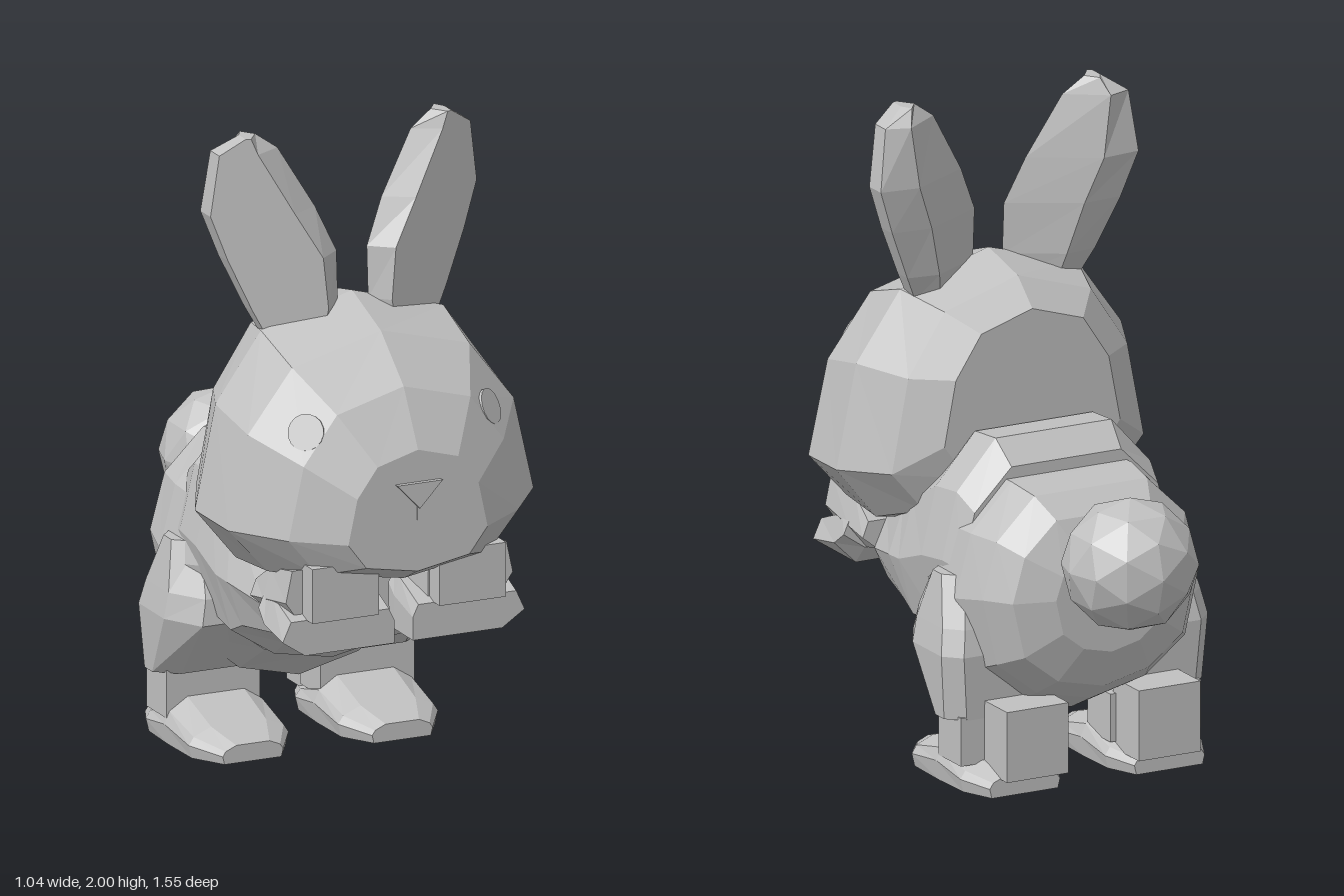
import * as THREE from 'three';

const fur = new THREE.MeshStandardMaterial({ color: 0xc0c0c0, flatShading: true });
fur.name = 'plain grey';

// Skin between matching cross-sections, with both ends capped.
// Rings run counterclockwise seen from the end of the path; side -1 mirrors x.
function loft(name, rings, side = 1) {
  const rs = rings.map(r => {
    const ring = r.map(([x, y, z]) => new THREE.Vector3(x * side, y, z));
    return side < 0 ? ring.reverse() : ring;
  });
  const pts = [];
  const n = rs[0].length;
  for (let k = 0; k < rs.length - 1; k++) {
    const a = rs[k], b = rs[k + 1];
    for (let i = 0; i < n; i++) {
      const j = (i + 1) % n;
      pts.push(a[i], a[j], b[j], a[i], b[j], b[i]);
    }
  }
  const first = rs[0], last = rs[rs.length - 1];
  for (let i = 1; i < n - 1; i++) {
    pts.push(first[0], first[i + 1], first[i], last[0], last[i], last[i + 1]);
  }
  const geo = new THREE.BufferGeometry().setFromPoints(pts);
  geo.computeVertexNormals();
  return part(name, geo);
}

function part(name, geo, x = 0, y = 0, z = 0) {
  const m = new THREE.Mesh(geo, fur);
  m.name = name;
  m.position.set(x, y, z);
  return m;
}

// One cross-section at depth z: profile scaled to half width, top and bottom
const section = (profile, z, cx, hw, bottom, mid, top) => profile.map(([u, v]) =>
  [cx + u * hw, v > 0 ? mid + v * (top - mid) : mid + v * (mid - bottom), z]);

const headProfile = [[1, 0], [0.87, 0.52], [0.58, 0.86], [0, 1], [-0.58, 0.86], [-0.87, 0.52],
  [-1, 0], [-0.74, -0.72], [0, -1], [0.74, -0.72]];
const bodyProfile = [[1, 0], [0.87, 0.58], [0.52, 1], [-0.52, 1], [-0.87, 0.58],
  [-1, 0], [-0.87, -0.58], [-0.5, -0.88], [0, -1], [0.5, -0.88], [0.87, -0.58]];
const footProfile = [[1, 0], [0.9, 0.5], [0.55, 1], [-0.55, 1], [-0.9, 0.5], [-1, 0],
  [-0.94, -1], [0.94, -1]];
const pawProfile = [[1, -0.1], [0.85, 1], [-0.9, 1], [-1, 0.3], [-1, -1], [0.6, -1]];

// Box given by its limits
const block = (name, x0, x1, y0, y1, z0, z1) => part(name,
  new THREE.BoxGeometry(Math.abs(x1 - x0), y1 - y0, z1 - z0), (x0 + x1) / 2, (y0 + y1) / 2, (z0 + z1) / 2);

export function createModel() {
  const model = new THREE.Group();
  model.name = 'rabbit';

  // Head: z, half width, bottom, widest level, top
  model.add(loft('head', [
    [0.03, 0.30, 0.83, 0.98, 1.37], [0.12, 0.43, 0.71, 0.89, 1.45], [0.30, 0.52, 0.64, 0.87, 1.49],
    [0.50, 0.505, 0.66, 0.86, 1.42], [0.66, 0.38, 0.69, 0.855, 1.29], [0.76, 0.23, 0.74, 0.85, 1.12],
  ].map(([z, w, b, m, t]) => section(headProfile, z, 0, w, b, m, t))));

  // Rump and chest
  model.add(loft('rump', [
    [-0.46, 0.19, 0.43, 0.74], [-0.41, 0.31, 0.31, 0.85], [-0.33, 0.37, 0.25, 0.91],
    [-0.21, 0.395, 0.19, 0.925], [-0.07, 0.395, 0.18, 0.92], [0.06, 0.35, 0.28, 0.86],
  ].map(([z, w, b, t]) => section(bodyProfile, z, 0, w, b, (b + t) / 2 + 0.03, t))));
  model.add(loft('chest', [
    [-0.18, 0.36, 0.36, 0.96], [-0.10, 0.38, 0.32, 1.03], [0.02, 0.385, 0.30, 1.02],
    [0.16, 0.385, 0.30, 0.92], [0.23, 0.38, 0.36, 0.85], [0.39, 0.34, 0.41, 0.74],
    [0.46, 0.25, 0.51, 0.66],
  ].map(([z, w, b, t]) => section(bodyProfile, z, 0, w, b, (b + t) / 2, t))));

  // Tail
  model.add(part('tail', new THREE.IcosahedronGeometry(0.207, 1), 0, 0.735, -0.572));

  // Nose and mouth
  const tri = new THREE.Shape([[-0.075, 1.02], [0, 0.94], [0.075, 1.02]].map(p => new THREE.Vector2(...p)));
  model.add(part('nose', new THREE.ExtrudeGeometry(tri, { depth: 0.025, bevelEnabled: false }), 0, 0, 0.75));
  model.add(block('mouth', -0.003, 0.003, 0.90, 0.95, 0.755, 0.763));

  for (const s of [1, -1]) {
    const side = s > 0 ? 'left' : 'right';

    // Ear: y, inner x, front ridge x, outer x, thickness; the outer edge is turned back
    const earZ = x => 0.395 - 0.35 * x;
    model.add(loft(side + 'Ear', [
      [1.38, 0.07, 0.12, 0.28, 0.09], [1.46, 0.05, 0.105, 0.32, 0.11], [1.62, 0.05, 0.12, 0.39, 0.125],
      [1.76, 0.11, 0.20, 0.44, 0.13], [1.95, 0.22, 0.305, 0.415, 0.115], [2.0, 0.29, 0.325, 0.34, 0.09],
    ].map(([y, a, f, b, t]) => {
      const m = a + (b - a) * 0.62;
      return [[a, y, earZ(a) - t * 0.65], [f, y, earZ(f)], [b, y, earZ(b)],
        [b, y, earZ(b) - t * 0.55], [m, y, earZ(m) - t]];
    }), s));

    // Eye: thin disc lying on the face
    const eye = part(side + 'Eye', new THREE.CylinderGeometry(0.056, 0.056, 0.009, 16), s * 0.304, 1.175, 0.62);
    eye.quaternion.setFromUnitVectors(new THREE.Vector3(0, 1, 0), new THREE.Vector3(s * 0.72, 0.45, 0.8).normalize());
    model.add(eye);

    // Thigh: horizontal sections from the ankle upward (y, back z, front z, inner x, outer x)
    model.add(loft(side + 'Thigh', [
      [0.22, -0.27, -0.11, 0.16, 0.44], [0.42, -0.28, 0.07, 0.19, 0.455],
      [0.50, -0.26, 0.06, 0.20, 0.44], [0.65, -0.20, -0.04, 0.23, 0.41],
    ].map(([y, zb, zf, xi, xo]) => {
      const c = (zf - zb) * 0.35;
      return [[xi, y, zf], [xo - 0.07, y, zf], [xo, y, zf - c], [xo, y, zb + 0.05], [xo - 0.05, y, zb], [xi, y, zb]];
    }), s));

    // Lower leg and heel
    model.add(block(side + 'Ankle', s * 0.10, s * 0.41, 0.08, 0.23, -0.27, -0.13));
    model.add(block(side + 'Heel', s * 0.12, s * 0.33, 0.055, 0.275, -0.41, -0.25));

    // Foot: z, half width, height
    model.add(loft(side + 'Foot', [
      [-0.37, 0.12, 0.065], [-0.27, 0.165, 0.09], [-0.13, 0.17, 0.14],
      [0.03, 0.165, 0.09], [0.13, 0.10, 0.055],
    ].map(([z, w, h]) => section(footProfile, z, 0.247, w, 0, h * 0.45, h)), s));

    // Foreleg: short, tucked under the chin and ending in a paw
    model.add(loft(side + 'Foreleg', [
      [0.39, 0.25, 0.13, 0.57, 0.66], [0.48, 0.22, 0.16, 0.55, 0.72], [0.63, 0.235, 0.14, 0.57, 0.75],
    ].map(([z, c, w, b, t]) => section(pawProfile, z, c, w, b, (b + t) / 2, t)), s));
    model.add(loft(side + 'Palm', [
      [0.48, 0.18, 0.55, 0.66], [0.53, 0.185, 0.49, 0.65], [0.66, 0.185, 0.49, 0.60],
    ].map(([z, w, b, t]) => section(pawProfile, z, 0.215, w, b, (b + t) / 2, t)), s));
    model.add(block(side + 'PawTip', s * 0.10, s * 0.32, 0.60, 0.77, 0.58, 0.70));
  }
  return model;
}
